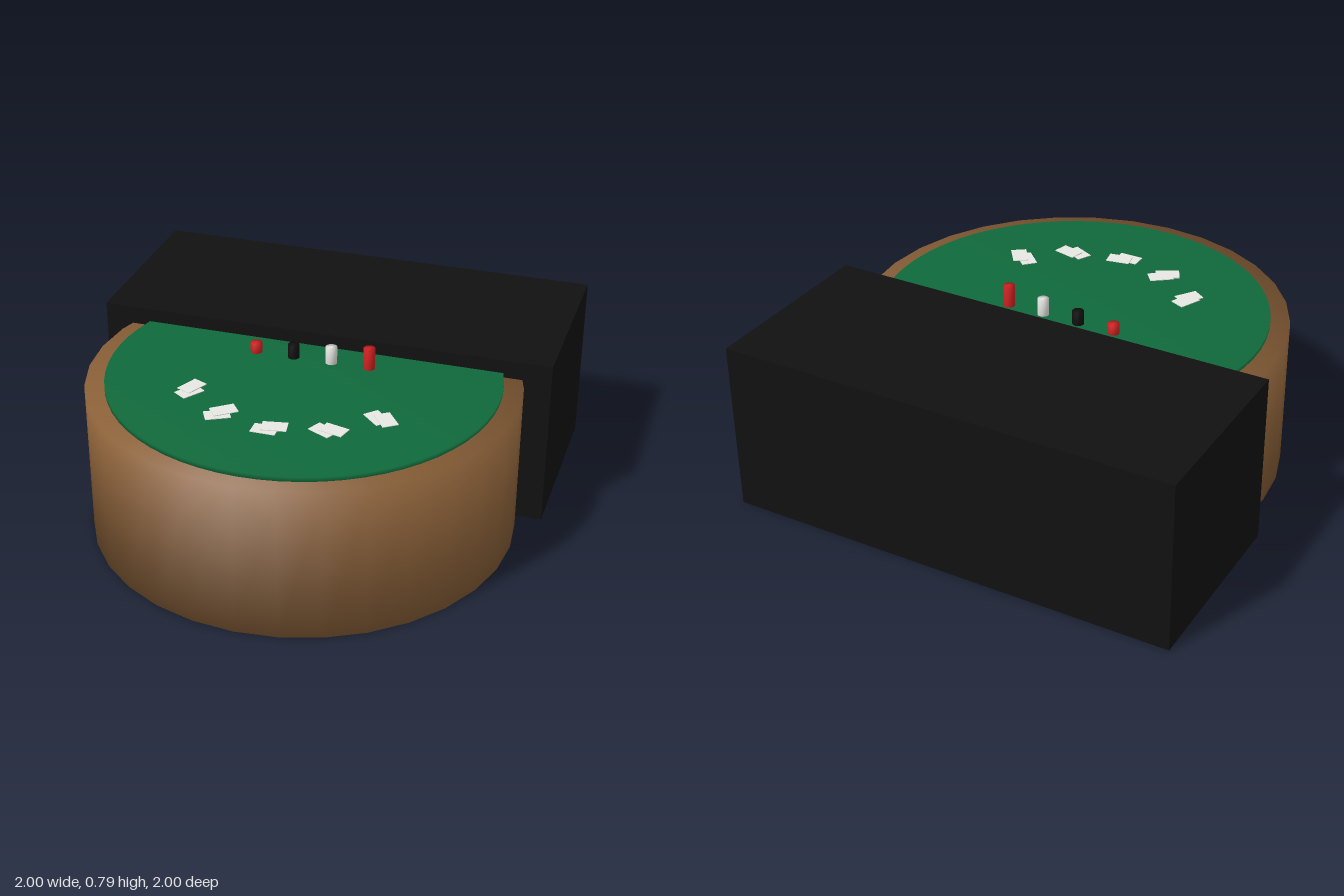
import * as THREE from 'three';
import { mergeVertices } from 'three/addons/utils/BufferGeometryUtils.js';

const mat = (name, color) => {
  const m = new THREE.MeshStandardMaterial({ color });
  m.name = name;
  return m;
};

// Cylinder standing on y0, with its normals softened over the rims
function softCylinder(radius, y0, y1, segments) {
  const g = new THREE.CylinderGeometry(radius, radius, y1 - y0, segments);
  g.deleteAttribute('normal');
  g.deleteAttribute('uv');
  const soft = mergeVertices(g);
  soft.computeVertexNormals();
  soft.translate(0, (y0 + y1) / 2, 0);
  return soft;
}

export function createModel() {
  const group = new THREE.Group();
  const wood = mat('wood', 0x8a6038);
  const felt = mat('felt', 0x10693b);
  const black = mat('black', 0x111111);
  const red = mat('red', 0xd42222);
  const white = mat('white', 0xf2f2ee);

  const add = (name, geometry, material, x, y, z, parent = group) => {
    const mesh = new THREE.Mesh(geometry, material);
    mesh.name = name;
    mesh.position.set(x, y, z);
    parent.add(mesh);
    return mesh;
  };

  // Round table body and its playing surface
  add('tableBody', softCylinder(0.915, 0, 0.67, 32), wood, 0, 0, 0.08);
  add('feltTop', softCylinder(0.832, 0.66, 0.69, 64), felt, 0, 0, 0.08);

  // Dealer's counter, its underside just above the table's
  add('counter', new THREE.BoxGeometry(2, 0.749, 0.832), black, 0, 0.3755, -0.584);

  // Row of chip stacks: x, top height, colour
  const chips = new THREE.Group();
  chips.name = 'chipStacks';
  group.add(chips);
  [[-0.252, 0.735, red], [-0.085, 0.75, black], [0.082, 0.765, white], [0.248, 0.785, red]]
    .forEach(([x, top, m]) =>
      add('chipStack', softCylinder(0.025, 0.685, top, 16), m, x, 0, -0.04, chips));

  // Five hands of two overlapping cards: x, z, angle of each card in degrees
  const hands = new THREE.Group();
  hands.name = 'cardHands';
  group.add(hands);
  const card = new THREE.BoxGeometry(0.104, 0.003, 0.068);
  [
    [-0.395, 0.365, 56, 66],
    [-0.212, 0.512, 28, 38],
    [0.015, 0.57, 0, 10],
    [0.242, 0.517, -26, -14],
    [0.417, 0.365, -44, -54],
  ].forEach(([x, z, a, b]) => {
    const hand = new THREE.Group();
    hand.name = 'hand';
    hand.position.set(x, 0, z);
    hands.add(hand);
    [[a, -1], [b, 1]].forEach(([deg, side]) => {
      const t = THREE.MathUtils.degToRad(deg);
      // The upper card is shifted along and across the lower one
      const u = side * 0.017, v = -side * 0.012;
      const c = add('card', card, white,
        u * Math.cos(t) + v * Math.sin(t), 0.696 + side * 0.0016,
        v * Math.cos(t) - u * Math.sin(t), hand);
      c.rotation.y = t;
    });
  });

  return group;
}
